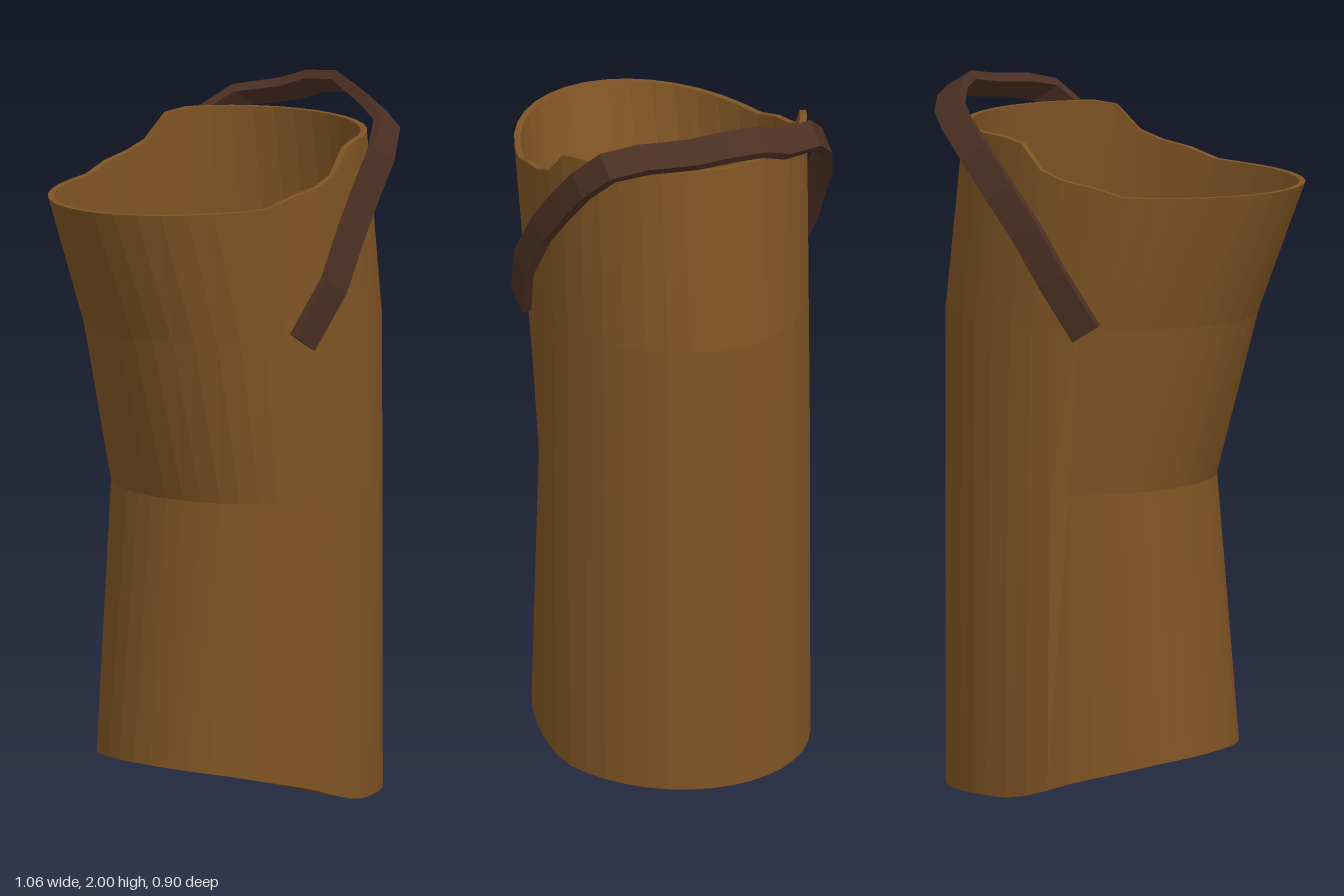
import * as THREE from 'three';

const SIDES = 40;

// Piecewise-linear height along x
function heightAt(points, x) {
  if (x <= points[0][0]) return points[0][1];
  for (let i = 1; i < points.length; i++) {
    const [x0, y0] = points[i - 1], [x1, y1] = points[i];
    if (x <= x1) return y0 + (y1 - y0) * (x - x0) / (x1 - x0);
  }
  return points[points.length - 1][1];
}

const baseEdge = [[-0.32, 0.13], [-0.2, 0.11], [0.0, 0.065], [0.12, 0.025], [0.2, 0.008], [0.51, 0.003]];
const topEdge = [[-0.15, 1.73], [-0.05, 1.76], [0.02, 1.77], [0.1, 1.8], [0.17, 1.88]];

// Egg-shaped ring: separate left and right radii about cx; y is a number or an edge profile
function ring(left, right, cx, depth, y, { zc = 0, scale = 1, inset = 0, narrow = 0 } = {}) {
  const pts = [];
  for (let i = 0; i < SIDES; i++) {
    const a = (i / SIDES) * Math.PI * 2, c = Math.cos(a);
    const rx = (c > 0 ? right - cx : cx - left);
    const edgeX = cx + c * rx * scale;
    const d = depth - (c < -0.01 ? narrow : 0);
    pts.push(new THREE.Vector3(
      cx + c * (rx - inset) * scale,
      Array.isArray(y) ? heightAt(y, edgeX) : y,
      zc + Math.sin(a) * (d - inset) * scale));
  }
  return pts;
}

// Skin consecutive rings of points
function loft(rings, closed = true) {
  const n = rings[0].length, pos = [], idx = [];
  rings.forEach(r => r.forEach(p => pos.push(p.x, p.y, p.z)));
  for (let j = 0; j < rings.length - 1; j++) {
    for (let i = 0; i < (closed ? n : n - 1); i++) {
      const a = j * n + i, b = j * n + (i + 1) % n, c = a + n, d = b + n;
      idx.push(a, c, b, b, c, d);
    }
  }
  const g = new THREE.BufferGeometry();
  g.setAttribute('position', new THREE.Float32BufferAttribute(pos, 3));
  g.setIndex(idx);
  g.computeVertexNormals();
  return g;
}

// Flat band swept along a path with a fixed width direction
function strapGeometry(path, width, thickness) {
  const side = new THREE.Vector3(0.84, -0.54, 0).normalize();
  const rings = path.map((p, i) => {
    const t = path[Math.min(i + 1, path.length - 1)].clone().sub(path[Math.max(i - 1, 0)]);
    const n = new THREE.Vector3().crossVectors(t, side).normalize();
    return [[-1, -1], [1, -1], [1, 1], [-1, 1]].map(([u, v]) =>
      p.clone().addScaledVector(side, u * width / 2).addScaledVector(n, v * thickness / 2));
  });
  // Close both ends with collapsed rings
  const first = path[0], last = path[path.length - 1];
  return loft([[first, first, first, first], ...rings, [last, last, last, last]]);
}

export function createModel() {
  const leather = new THREE.MeshStandardMaterial({ color: 0x7f5424, flatShading: true });
  leather.name = 'tan leather';
  const darkLeather = new THREE.MeshStandardMaterial({ color: 0x4c3023, flatShading: true, side: THREE.DoubleSide });
  darkLeather.name = 'dark leather';

  const group = new THREE.Group();
  const add = (name, geometry, material) => {
    const m = new THREE.Mesh(geometry, material);
    m.name = name;
    group.add(m);
  };

  // Outer wall with closed base
  const base = o => ring(-0.32, 0.51, 0.08, 0.385, baseEdge, o);
  const rim = o => ring(-0.53, 0.45, 0.03, 0.392, topEdge, { zc: -0.008, ...o });
  const waist = o => ring(-0.38, 0.51, 0.06, 0.385, 1.35, o);
  add('body', loft([
    base({ scale: 0 }), base({ scale: 0.5 }), base(),
    ring(-0.25, 0.51, 0.07, 0.387, 0.88, { narrow: 0.015 }),
    waist(), rim(),
  ]), leather);

  // Rim edge and inner wall down to the inner floor
  add('lining', loft([rim(), rim({ inset: 0.018 }), waist({ inset: 0.012 })]), leather);
  add('innerFloor', loft([waist({ inset: 0.012 }), waist({ scale: 0 })]), leather);

  // Carrying strap arching from front to back over the tall side
  const path = [
    [-0.045, 1.345, 0.40], [0.045, 1.5, 0.433], [0.13, 1.64, 0.415], [0.21, 1.74, 0.39],
    [0.29, 1.83, 0.365], [0.36, 1.905, 0.315], [0.4, 1.93, 0.22], [0.455, 1.945, 0.1],
    [0.488, 1.965, 0], [0.475, 1.955, -0.1], [0.452, 1.925, -0.18], [0.385, 1.9, -0.3],
    [0.3, 1.83, -0.37], [0.21, 1.73, -0.41], [0.13, 1.63, -0.425], [0.045, 1.5, -0.435],
    [-0.045, 1.345, -0.405],
  ].map(p => new THREE.Vector3(...p));
  add('strap', strapGeometry(path, 0.088, 0.028), darkLeather);

  return group;
}
